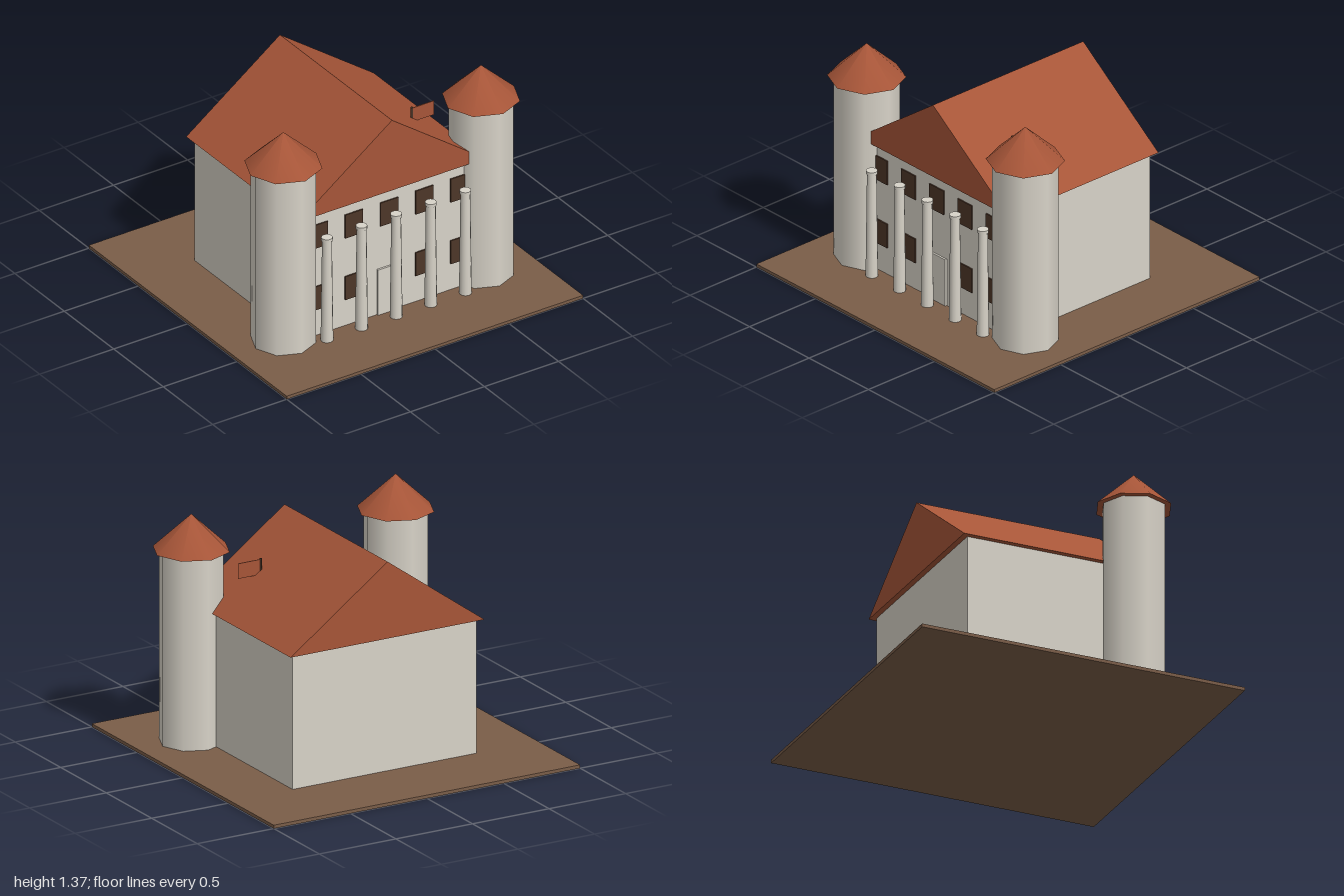
import * as THREE from 'three';

export function createModel() {
  const model = new THREE.Group();
  model.name = 'manor';

  const material = (name, color) => {
    const m = new THREE.MeshStandardMaterial({ color });
    m.name = name;
    return m;
  };
  const stone = material('stone', 0xd8d3c8);
  const tile = material('roofTile', 0xa65538);
  const earth = material('earth', 0x7a5d48);
  const wood = material('darkWood', 0x4d3628);

  const add = (name, geometry, mat, x, y, z, parent = model) => {
    const mesh = new THREE.Mesh(geometry, mat);
    mesh.name = name;
    mesh.position.set(x, y, z);
    parent.add(mesh);
    return mesh;
  };

  const ground = 0.02;
  const wallFront = 0.533;

  // Ground slab and main block
  add('groundSlab', new THREE.BoxGeometry(2, ground, 2), earth, 0, ground / 2, 0);
  add('hall', new THREE.BoxGeometry(1.2, 0.8, 2 * wallFront), stone, 0, 0.42, 0);

  // Gabled roof, ridge running front to back
  const gable = new THREE.Shape([
    new THREE.Vector2(-0.633, 0),
    new THREE.Vector2(0.633, 0),
    new THREE.Vector2(0, 0.457),
  ]);
  const roof = new THREE.ExtrudeGeometry(gable, { depth: 1.133, bevelEnabled: false });
  add('roof', roof, tile, 0, 0.82, -0.567);

  // Corner towers with eight-sided caps
  for (const side of [-1, 1]) {
    const tower = new THREE.Group();
    tower.name = side > 0 ? 'leftTower' : 'rightTower';
    tower.position.set(side * 0.667, 0, 0.467);
    model.add(tower);
    add('towerWall', new THREE.CylinderGeometry(0.187, 0.187, 1.14, 8), stone, 0, 0.59, 0, tower);
    add('towerRoof', new THREE.ConeGeometry(0.223, 0.21, 8), tile, 0, 1.265, 0, tower);
  }

  // Row of tapered columns, each with a small capital
  for (let i = -2; i <= 2; i++) {
    const column = new THREE.Group();
    column.name = 'column';
    column.position.set(i * 0.2335, 0, 0.608);
    model.add(column);
    add('shaft', new THREE.CylinderGeometry(0.028, 0.036, 0.65, 12), stone, 0, 0.345, 0, column);
    add('capital', new THREE.CylinderGeometry(0.033, 0.033, 0.02, 12), stone, 0, 0.68, 0, column);
  }

  // Two storeys of windows, with the door in the middle of the lower one
  const pane = new THREE.BoxGeometry(0.12, 0.152, 0.008);
  for (const y of [0.265, 0.667]) {
    for (let i = -2; i <= 2; i++) {
      if (i === 0 && y < 0.5) continue;
      add('window', pane, wood, i * 0.2375, y, wallFront + 0.004);
    }
  }
  add('door', new THREE.BoxGeometry(0.16, 0.295, 0.012), stone, 0, 0.1675, wallFront + 0.006);

  // Flag on the roof slope
  add('flagPole', new THREE.CylinderGeometry(0.007, 0.007, 0.24, 8), wood, 0.333, 0.985, 0.267);
  add('flag', new THREE.BoxGeometry(0.146, 0.09, 0.005), tile, 0.408, 1.055, 0.267);

  return model;
}
